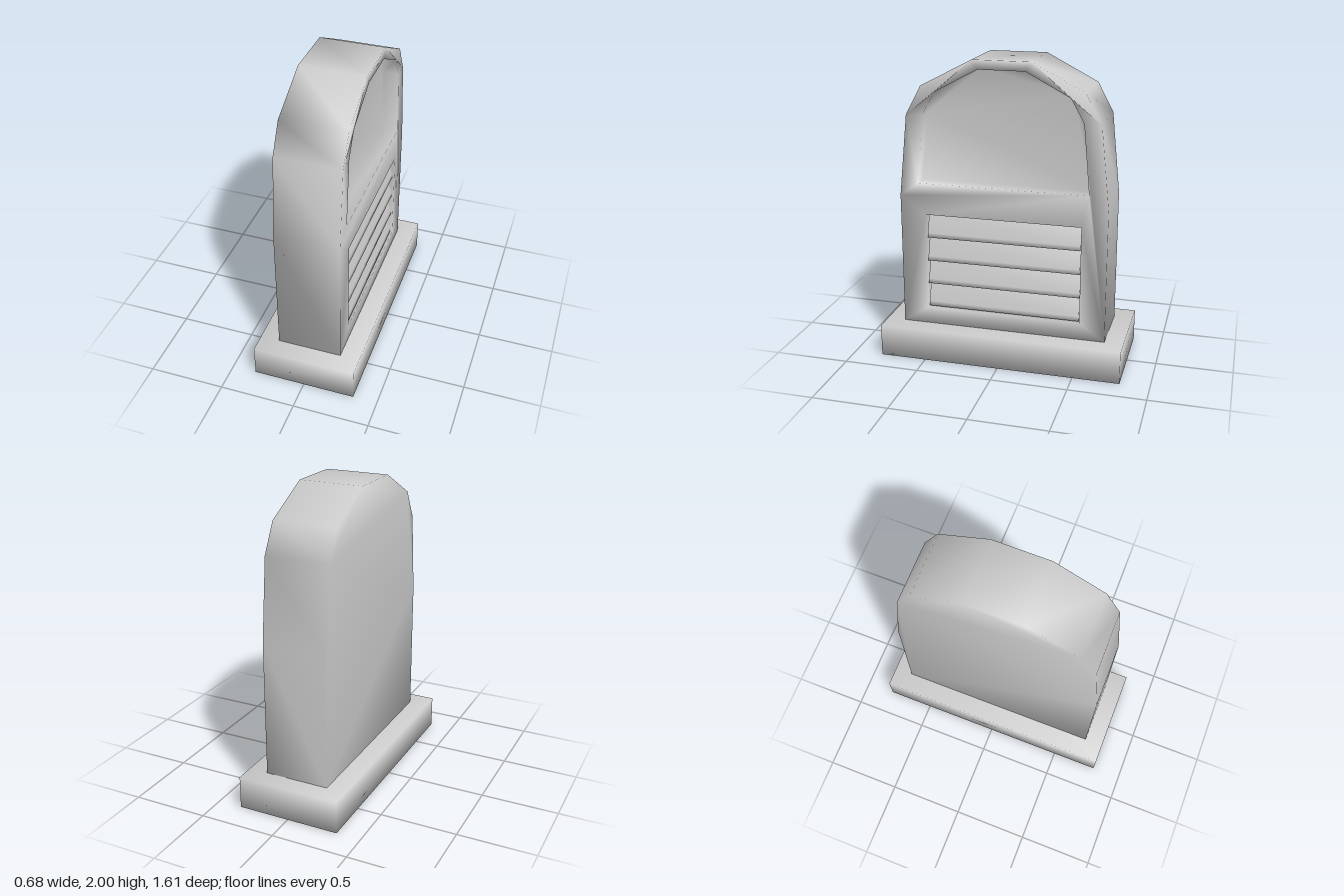
import * as THREE from 'three';
import { mergeGeometries, mergeVertices } from 'three/addons/utils/BufferGeometryUtils.js';

const grey = new THREE.MeshStandardMaterial({ color: 0xcccccc });
const vec = (pts) => pts.map(([x, y]) => new THREE.Vector2(x, y));

// Mirror a right half-outline (bottom to top) into a closed counter-clockwise loop
const symmetric = (half) => [...half, ...half.map(([x, y]) => [-x, y]).reverse()];

// Reverse the facing of a geometry
function flip(geometry) {
  geometry.index.array.reverse();
  return geometry;
}

// Flat face at depth z, with optional holes
function cap(pts, z, holes = []) {
  const shape = new THREE.Shape(vec(pts));
  shape.holes = holes.map((h) => new THREE.Path(vec(h)));
  return new THREE.ShapeGeometry(shape).translate(0, 0, z);
}

// Wall that follows a closed loop from z0 to z1, facing outwards
function band(pts, z0, z1) {
  const n = pts.length;
  const positions = [];
  const index = [];
  pts.forEach(([x, y], i) => {
    const j = (i + 1) % n;
    positions.push(x, y, z0, x, y, z1);
    index.push(2 * i, 2 * j, 2 * j + 1, 2 * i, 2 * j + 1, 2 * i + 1);
  });
  const geometry = new THREE.BufferGeometry();
  geometry.setAttribute('position', new THREE.Float32BufferAttribute(positions, 3));
  geometry.setIndex(index);
  return geometry;
}

// Join pieces into one skin with smooth shared normals
function smooth(pieces) {
  pieces.forEach((g) => {
    g.deleteAttribute('normal');
    g.deleteAttribute('uv');
  });
  const geometry = mergeVertices(mergeGeometries(pieces), 1e-4);
  geometry.computeVertexNormals();
  return geometry;
}

function addMesh(parent, name, geometry) {
  const mesh = new THREE.Mesh(geometry, grey);
  mesh.name = name;
  parent.add(mesh);
  return mesh;
}

export function createModel() {
  const model = new THREE.Group();
  model.name = 'archedCabinet';

  // Plinth
  const plinth = new THREE.BoxGeometry(0.68, 0.215, 1.614).translate(0, 0.1075, 0);
  addMesh(model, 'plinth', smooth([plinth]));

  // Cabinet is drawn facing +z, then turned so its open face looks to +x
  const cabinet = new THREE.Group();
  cabinet.name = 'cabinet';
  cabinet.rotation.y = Math.PI / 2;
  model.add(cabinet);

  const half = 0.212;
  const outline = symmetric([[0.683, 0.215], [0.683, 1.1], [0.627, 1.635], [0.525, 1.825], [0.188, 2]]);
  const niche = symmetric([[0.558, 1.19], [0.517, 1.64], [0.433, 1.79], [0.15, 1.94]]);
  const grille = symmetric([[0.515, 0.325], [0.515, 0.98]]);
  const nicheFloor = half - 0.1;
  const grilleFloor = half - 0.06;

  // Arched body with an arched niche and a grille recess
  addMesh(cabinet, 'body', smooth([
    band(outline, -half, half),
    flip(cap(outline, -half)),
    cap(outline, half, [niche, grille]),
    flip(band(niche, nicheFloor, half)),
    cap(niche, nicheFloor),
    flip(band(grille, grilleFloor, half)),
    cap(grille, grilleFloor),
  ]));

  // Sloping louvre slats, each leaning out towards its lower edge
  const count = 4;
  const pitch = 0.161;
  const length = 0.508;
  for (let i = 0; i < count; i++) {
    const bottom = 0.336 + i * pitch;
    const section = [
      [grilleFloor - 0.01, bottom],
      [half - 0.012, bottom],
      [half - 0.018, bottom + 0.03],
      [grilleFloor + 0.004, bottom + pitch],
      [grilleFloor - 0.01, bottom + pitch],
    ];
    const slat = smooth([
      band(section, -length, length),
      flip(cap(section, -length)),
      cap(section, length),
    ]);
    addMesh(cabinet, 'louvreSlat', slat.rotateY(-Math.PI / 2));
  }

  return model;
}
